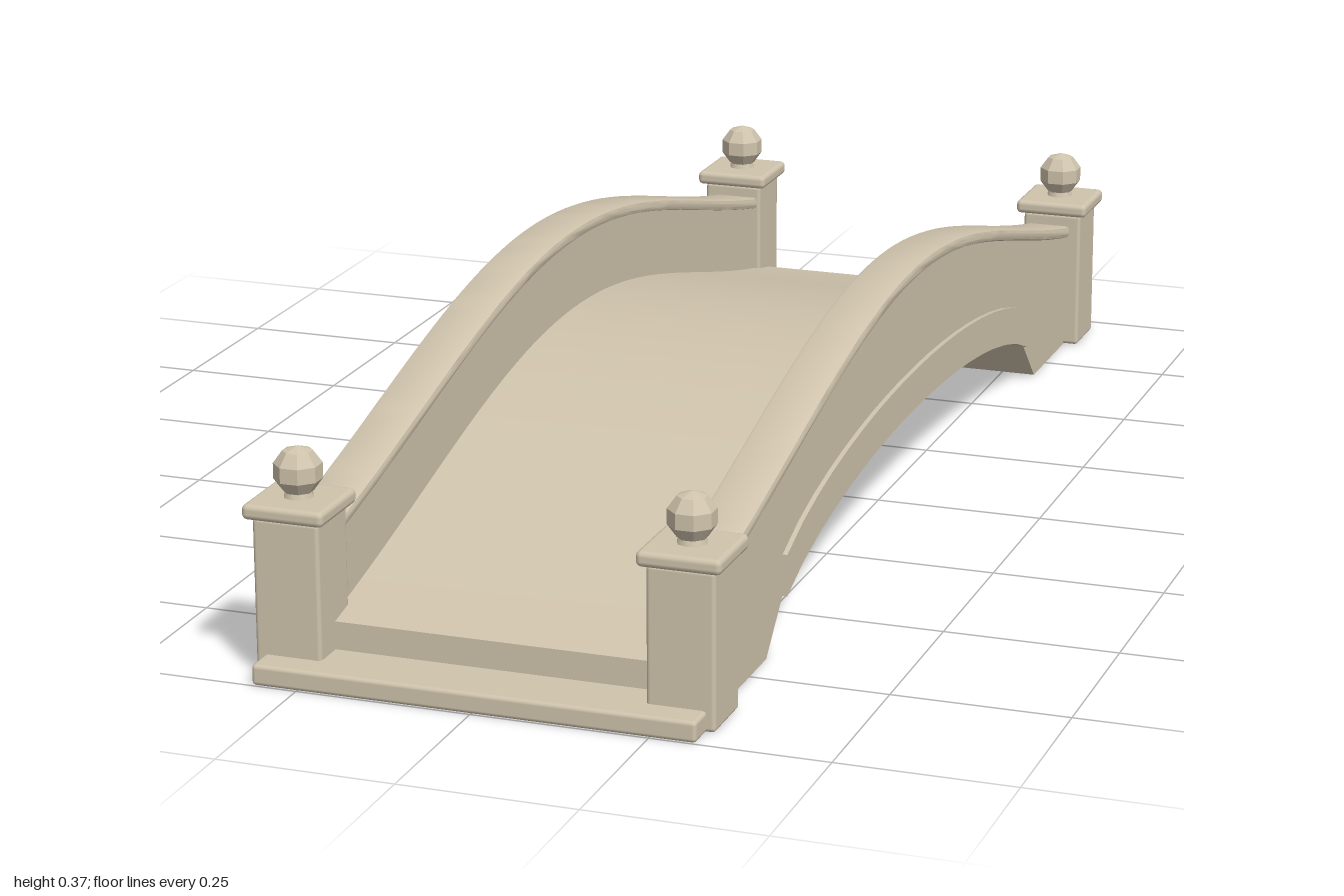
import * as THREE from 'three';
import { toCreasedNormals } from 'three/addons/utils/BufferGeometryUtils.js';
import { RoundedBoxGeometry } from 'three/addons/geometries/RoundedBoxGeometry.js';

const END = 0.91; // half length of the walkway

// Height of the walkway: a hump that eases out towards both ends
const deckY = (z) => {
  const u = Math.abs(z) / END;
  const parabola = 1 - u * u;
  const wave = (1 + Math.cos(Math.PI * u)) / 2;
  return 0.07 + 0.18 * (parabola + wave) / 2;
};

// Elliptical underside of the arch
const archY = (z) => 0.155 * Math.sqrt(Math.max(0, 1 - (z / 0.68) ** 2));

// Sample a height rule from z0 to z1
const sample = (rule, z0, z1, n) => Array.from({ length: n + 1 }, (_, i) => {
  const z = z0 + ((z1 - z0) * i) / n;
  return new THREE.Vector2(z, rule(z));
});

// Extrude a (z, y) outline across the bridge from x0 to x1
function slab(points, x0, x1, bevel = 0) {
  const geo = new THREE.ExtrudeGeometry(new THREE.Shape(points), {
    depth: x1 - x0 - 2 * bevel,
    bevelEnabled: bevel > 0,
    bevelThickness: bevel,
    bevelSize: bevel,
    bevelOffset: -bevel,
    bevelSegments: 2,
  });
  geo.rotateY(-Math.PI / 2);
  geo.translate(x1 - bevel, 0, 0);
  return toCreasedNormals(geo, 0.4);
}

export function createModel() {
  const model = new THREE.Group();
  model.name = 'archedBridge';
  const stone = new THREE.MeshStandardMaterial({ color: 0xcfc3ac });
  stone.name = 'sandstone';

  const add = (name, geo, x = 0, y = 0, z = 0, parent = model) => {
    const mesh = new THREE.Mesh(geo, stone);
    mesh.name = name;
    mesh.position.set(x, y, z);
    parent.add(mesh);
    return mesh;
  };

  // Underside outline shared by the deck and both side walls
  const underside = (end) => [
    new THREE.Vector2(-end, 0),
    ...sample(archY, -0.68, 0.68, 20),
    new THREE.Vector2(end, 0),
  ];

  // Walkway
  add('deck', slab([...underside(END), ...sample(deckY, END, -END, 48)], -0.24, 0.24));

  // Side walls with coping and a raised arch ring
  const wallEnd = 0.9;
  const railY = (z) => deckY(z) + 0.123;
  const wall = [...underside(wallEnd), ...sample((z) => railY(z) - 0.014, wallEnd, -wallEnd, 48)];
  const coping = [
    ...sample((z) => railY(z) - 0.019, -wallEnd, wallEnd, 48),
    ...sample(railY, wallEnd, -wallEnd, 48),
  ];
  const ring = [
    ...sample(archY, -0.612, 0.612, 18),
    ...sample((z) => archY(z) + 0.06, 0.612, -0.612, 18),
  ];
  for (const side of [1, -1]) {
    const label = side > 0 ? 'left' : 'right';
    const across = (points, a, b, bevel) =>
      slab(points, Math.min(a * side, b * side), Math.max(a * side, b * side), bevel);
    add(label + 'Wall', across(wall, 0.239, 0.303));
    add(label + 'Coping', across(coping, 0.236, 0.309, 0.006));
    add(label + 'ArchRing', across(ring, 0.28, 0.31));
  }

  // Corner posts with cap and faceted ball
  const postGeo = new RoundedBoxGeometry(0.096, 0.222, 0.096, 2, 0.006);
  const capGeo = new RoundedBoxGeometry(0.118, 0.022, 0.118, 2, 0.008);
  const neckGeo = new THREE.CylinderGeometry(0.018, 0.022, 0.012, 8);
  const ballGeo = toCreasedNormals(new THREE.SphereGeometry(0.035, 8, 5).rotateY(Math.PI / 8), 0.1);
  for (const x of [0.279, -0.279]) {
    for (const z of [0.91, -0.91]) {
      const post = new THREE.Group();
      post.name = (z > 0 ? 'front' : 'back') + (x > 0 ? 'Left' : 'Right') + 'Post';
      post.position.set(x, 0, z);
      model.add(post);
      add('postShaft', postGeo, 0, 0.111, 0, post);
      add('postCap', capGeo, 0, 0.232, 0, post);
      add('ballNeck', neckGeo, 0, 0.247, 0, post);
      add('ballFinial', ballGeo, 0, 0.279, 0, post);
    }
  }

  // Threshold slab at each end
  const stepGeo = new RoundedBoxGeometry(0.63, 0.03, 0.13, 2, 0.006);
  add('frontStep', stepGeo, 0, 0.015, 0.935);
  add('backStep', stepGeo, 0, 0.015, -0.935);

  return model;
}
